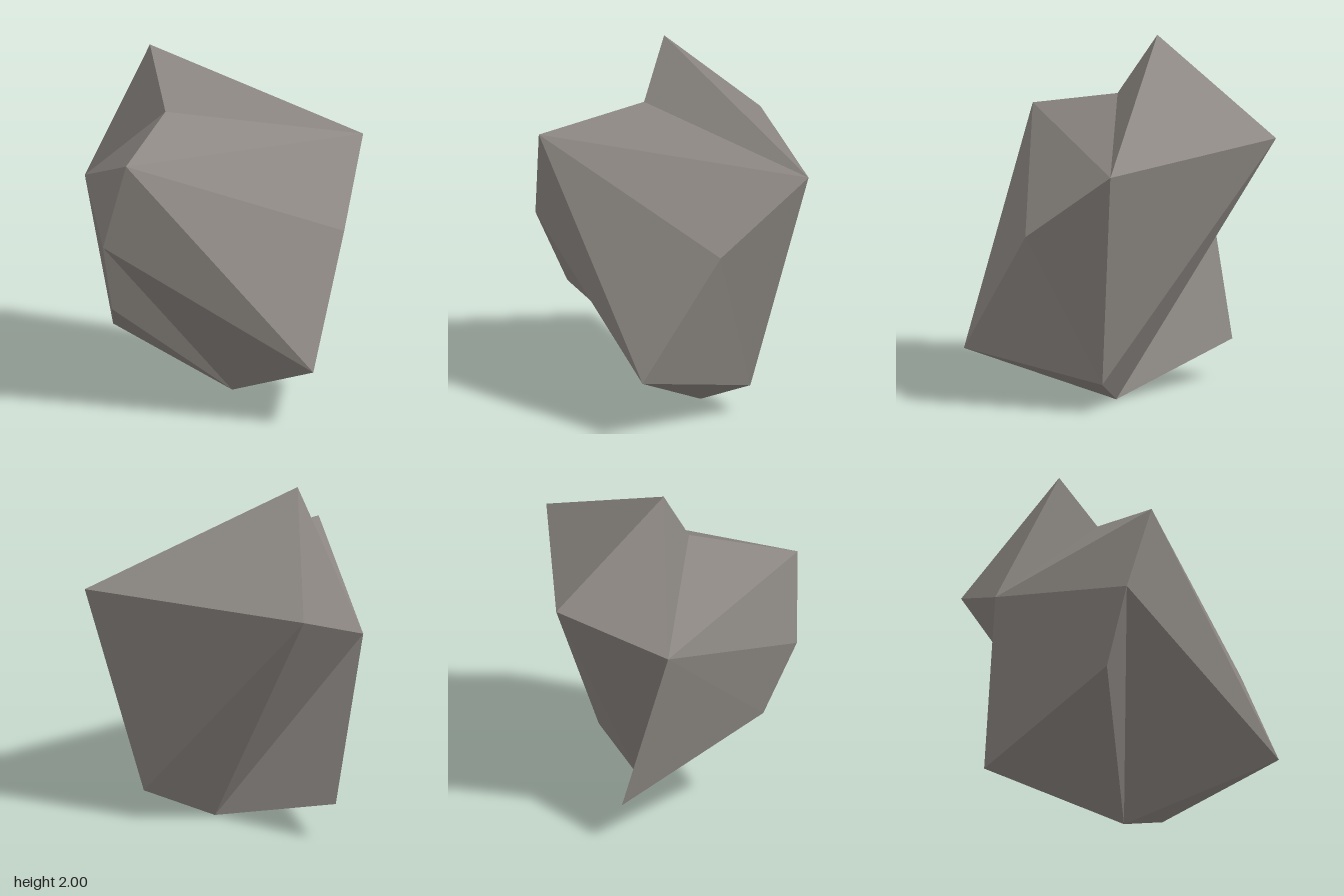
import * as THREE from 'three';

// Corner points of the boulder
const corners = {
  A: [-0.39, 2.0, -0.17],   // peak
  B: [-0.26, 1.45, -0.85],  // rear shoulder
  C: [0.8, 1.44, -0.02],    // left shoulder
  D: [-0.71, 1.18, -0.41],  // right rear
  E: [-0.69, 1.53, 0.56],   // right front ledge
  F: [-0.35, 1.67, 0.05],   // notch below the peak
  G: [-0.8, 1.03, 0.46],    // right front
  H: [0.58, 1.04, 0.48],    // left front
  I: [0.32, 0.34, 0.85],    // front toe
  J: [0.44, 0.17, 0.06],    // left base
  K: [0.04, 0, 0.02],       // lowest point
  L: [-0.51, 0.24, -0.58],  // rear base
  M: [-0.71, 0.61, 0.29],   // right base
};

// Facets, counter-clockwise from outside
const facets = [
  'ACB', 'ABD', 'AFC', 'ADF',               // peak
  'FDE', 'FEC',                             // ledge
  'CEH', 'HEI', 'IEG',                      // front
  'GED', 'GDM', 'MDL',                      // right side
  'JBC', 'JCH', 'JHI',                      // left side
  'DBK', 'KBJ', 'KLD',                      // back
  'GMK', 'KML', 'KJI', 'KIG',               // underside
];

export function createModel() {
  const group = new THREE.Group();
  group.name = 'rock';

  const stone = new THREE.MeshStandardMaterial({ color: 0x8c8782 });
  stone.name = 'stone grey';

  // Unshared corners give every facet its own flat normal
  const positions = facets.flatMap((facet) => [...facet].flatMap((key) => corners[key]));
  const geometry = new THREE.BufferGeometry();
  geometry.setAttribute('position', new THREE.Float32BufferAttribute(positions, 3));
  geometry.computeVertexNormals();

  const boulder = new THREE.Mesh(geometry, stone);
  boulder.name = 'boulder';
  group.add(boulder);
  return group;
}
